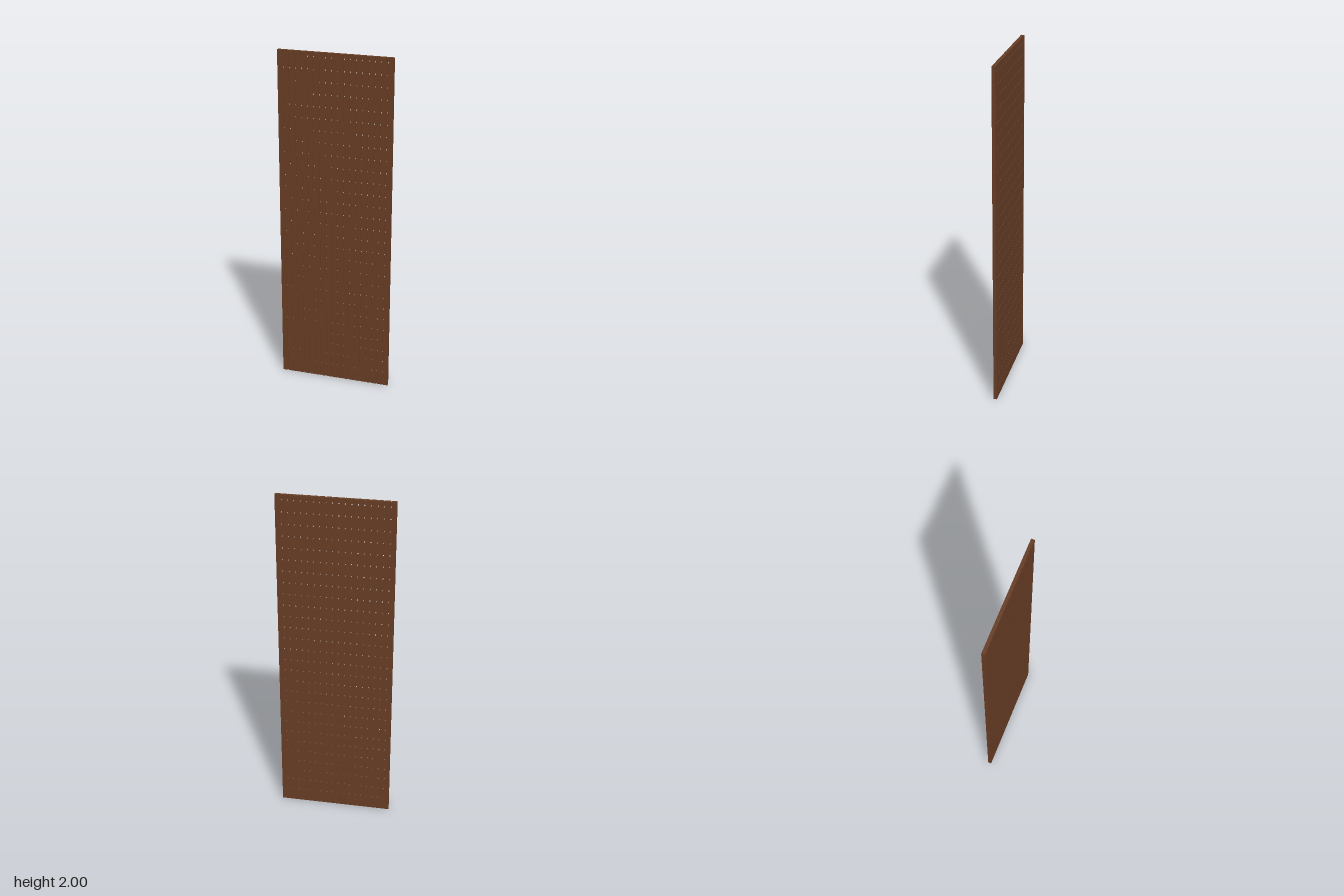
import * as THREE from 'three';

const WIDTH = 0.66, HEIGHT = 2, BACK = -0.01, FLOOR = 0.003, FRONT = 0.01;
const SLATS = 19, GROOVE = 0.0045;
const PITCH = (WIDTH + GROOVE) / SLATS, SLAT = PITCH - GROOVE;
const ROWS = 28, ROW_PITCH = 0.07, FIRST_ROW = 0.08, HOLE_RADIUS = 0.0065;

export function createModel() {
  const group = new THREE.Group();
  group.name = 'slottedPanel';
  const wood = new THREE.MeshStandardMaterial({ color: 0x663c24 });
  wood.name = 'brown wood';

  // Backing board, with a column of round holes behind every groove
  const outline = new THREE.Shape();
  outline.moveTo(-WIDTH / 2, 0);
  outline.lineTo(WIDTH / 2, 0);
  outline.lineTo(WIDTH / 2, HEIGHT);
  outline.lineTo(-WIDTH / 2, HEIGHT);
  outline.closePath();
  for (let c = 1; c < SLATS; c++) {
    const x = -WIDTH / 2 + c * PITCH - GROOVE / 2;
    for (let r = 0; r < ROWS; r++) {
      const hole = new THREE.Path();
      hole.absarc(x, FIRST_ROW + r * ROW_PITCH, HOLE_RADIUS, 0, Math.PI * 2, true);
      outline.holes.push(hole);
    }
  }
  const boardGeometry = new THREE.ExtrudeGeometry(outline, {
    depth: FLOOR - BACK, bevelEnabled: false, curveSegments: 6,
  });
  boardGeometry.translate(0, 0, BACK);
  const board = new THREE.Mesh(boardGeometry, wood);
  board.name = 'perforatedBackBoard';
  group.add(board);

  // Vertical front slats separated by narrow grooves
  const slatGeometry = new THREE.BoxGeometry(SLAT, HEIGHT, FRONT - FLOOR);
  for (let i = 0; i < SLATS; i++) {
    const slat = new THREE.Mesh(slatGeometry, wood);
    slat.name = `slat${i + 1}`;
    slat.position.set(-WIDTH / 2 + SLAT / 2 + i * PITCH, HEIGHT / 2, (FRONT + FLOOR) / 2);
    group.add(slat);
  }
  return group;
}
